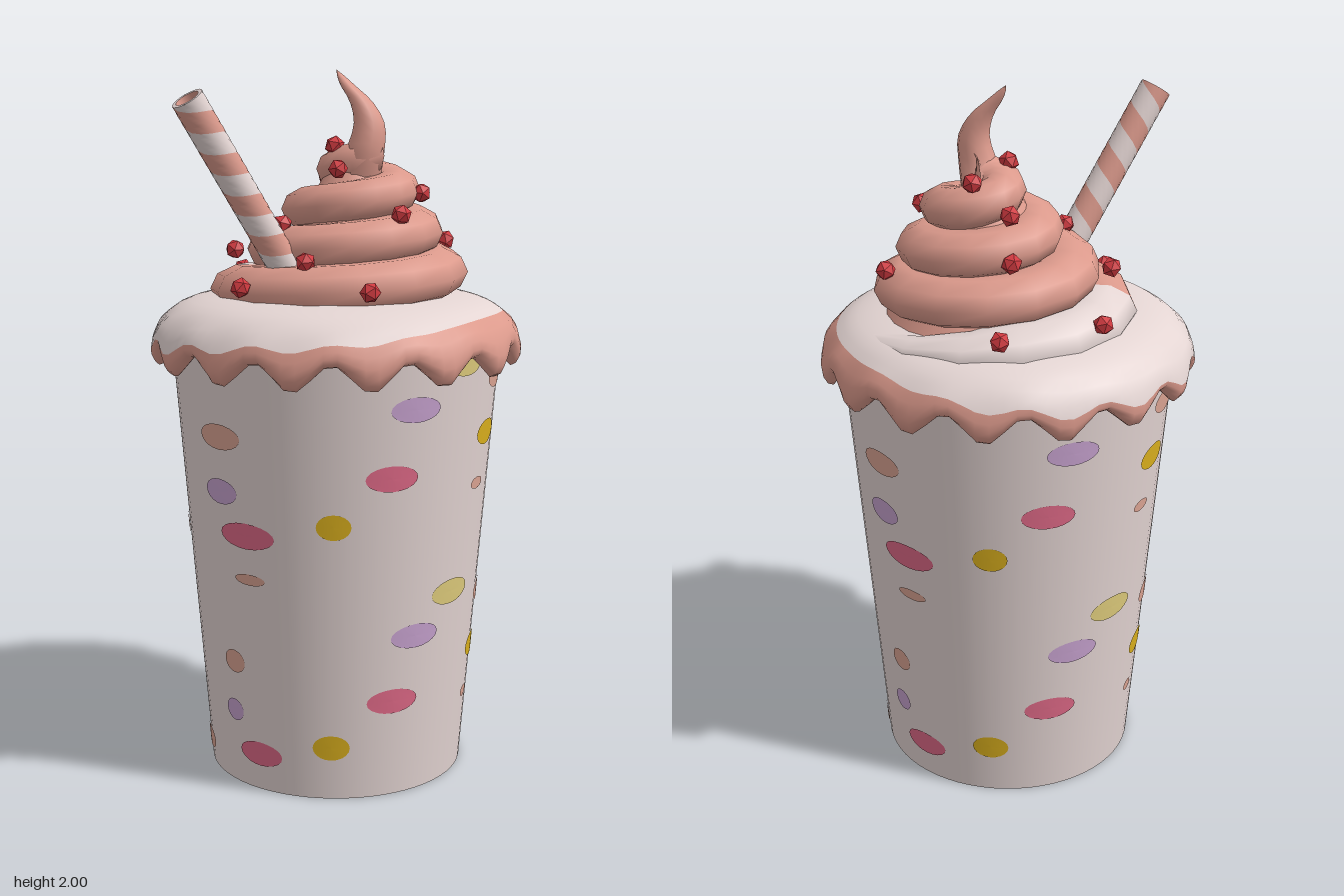
import * as THREE from 'three';

const mat = (name, color, side = THREE.FrontSide) => {
  const m = new THREE.MeshStandardMaterial({ color, side });
  m.name = name;
  return m;
};

// Surface from a rule fn(u, v), optionally closed in either direction
function grid(fn, nu, nv, wrapU, wrapV) {
  const pos = [], index = [];
  const cols = wrapU ? nu : nu + 1, rows = wrapV ? nv : nv + 1;
  for (let i = 0; i < cols; i++)
    for (let j = 0; j < rows; j++) pos.push(...fn(i / nu, j / nv));
  const id = (i, j) => (i % cols) * rows + (j % rows);
  for (let i = 0; i < nu; i++)
    for (let j = 0; j < nv; j++) {
      const a = id(i, j), b = id(i + 1, j), c = id(i + 1, j + 1), d = id(i, j + 1);
      index.push(a, b, c, a, c, d);
    }
  const g = new THREE.BufferGeometry();
  g.setAttribute('position', new THREE.Float32BufferAttribute(pos, 3));
  g.setIndex(index);
  g.computeVertexNormals();
  return g;
}

export function createModel() {
  const model = new THREE.Group();
  model.name = 'milkshake';
  const white = mat('white cream', 0xe4d5d3, THREE.DoubleSide);
  const frosting = mat('pink frosting', 0xdc9a8c, THREE.DoubleSide);
  const red = mat('red', 0xd03a40);
  const salmon = mat('salmon', 0xdda594);
  const pink = mat('pink', 0xe06a88);
  const lavender = mat('lavender', 0xc8a3d0);
  const yellow = mat('yellow', 0xdcb11e);
  const paleYellow = mat('pale yellow', 0xdfcc7c);

  const add = (name, geometry, material, parent = model) => {
    const mesh = new THREE.Mesh(geometry, material);
    mesh.name = name;
    parent.add(mesh);
    return mesh;
  };

  // Cup
  const cupRadius = y => 0.368 + 0.081 * y;
  const cup = add('cup', new THREE.CylinderGeometry(cupRadius(1.27), cupRadius(0), 1.27, 64), white);
  cup.position.y = 0.635;

  // Spots on the cup: angle, height, half angle, half height; the set repeats on the back
  const spots = [
    [lavender, [[-0.08, 1.115, 0.165, 0.035], [0, 0.47, 0.19, 0.035], [1.78, 0.87, 0.14, 0.036], [1.755, 0.225, 0.09, 0.033]]],
    [yellow, [[0.62, 1.01, 0.15, 0.036], [-0.58, 0.8, 0.11, 0.036], [0.78, 0.365, 0.15, 0.036], [-0.6, 0.155, 0.135, 0.037]]],
    [pink, [[-0.22, 0.93, 0.17, 0.036], [1.97, 0.755, 0.21, 0.037], [-0.155, 0.285, 0.195, 0.036], [1.98, 0.11, 0.19, 0.036]]],
    [salmon, [[0.53, 0.87, 0.085, 0.017], [1.08, 0.72, 0.15, 0.034], [1.98, 0.63, 0.12, 0.016], [0.86, 0.525, 0.15, 0.035],
      [0.675, 0.23, 0.065, 0.017], [0.74, 1.165, 0.17, 0.036], [1.8, 1.025, 0.17, 0.036], [1.79, 0.375, 0.1, 0.034],
      [1.23, 0.075, 0.15, 0.034]]],
    [paleYellow, [[0.31, 0.575, 0.19, 0.036], [0.29, 1.215, 0.13, 0.026]]],
  ];
  for (const [material, list] of spots)
    for (const [angle, height, w, h] of list)
      for (const turn of [0, Math.PI]) {
        const g = new THREE.RingGeometry(0, 1, 20, 3);
        const p = g.attributes.position;
        for (let i = 0; i < p.count; i++) {
          const a = angle + turn + w * p.getX(i), y = height + h * p.getY(i), r = cupRadius(y) + 0.003;
          p.setXYZ(i, Math.sin(a) * r, y, Math.cos(a) * r);
        }
        g.computeVertexNormals();
        add('cupSpot', g, material);
      }

  // Cream collar with a scalloped lip, pink below and white above a drifting line
  const profile = new THREE.CatmullRomCurve3([[0.45, 1.26], [0.495, 1.21], [0.523, 1.235], [0.512, 1.29],
    [0.455, 1.345], [0.38, 1.372], [0.25, 1.39]].map(([r, y]) => new THREE.Vector3(r, y, 0)));
  const collarPoint = (a, s) => {
    const p = profile.getPoint(s);
    const wave = Math.cos(15 * (a - 0.04)) * THREE.MathUtils.clamp((0.6 - s) / 0.4, 0, 1);
    const r = p.x + 0.008 * wave;
    return [Math.sin(a) * r, p.y - 0.035 * wave, Math.cos(a) * r];
  };
  const border = a => 0.5 + 0.13 * Math.cos(a - 0.8) + 0.015 * Math.sin(4 * a);
  const turn = u => u * Math.PI * 2;
  add('collarPink', grid((u, v) => collarPoint(turn(u), v * border(turn(u))), 90, 8, true), frosting);
  add('collarWhite', grid((u, v) => {
    const b = border(turn(u));
    return collarPoint(turn(u), b + v * (1 - b));
  }, 90, 8, true), white);

  // Whipped swirl: a rising spiral roll, starting white and turning pink
  const swirlPoint = (t, v) => {
    const a = turn(t), c = turn(v), k = t / 3.75;
    const grow = Math.min(1, 0.3 + t * 3.5);
    const rx = (0.115 - 0.05 * k) * grow, ry = (0.075 - 0.018 * k) * grow;
    const r = 0.42 - 0.085 * t - rx + rx * Math.cos(c);
    return [0.02 + 0.02 * t + Math.cos(a) * r, 1.34 + 0.113 * t + ry * Math.sin(c), -Math.sin(a) * r];
  };
  const swirlPart = (name, t0, t1, n, m) =>
    add(name, grid((u, v) => swirlPoint(t0 + (t1 - t0) * u, v), n, 10, false, true), m);
  swirlPart('swirlWhite', 0, 0.4, 6, white);
  swirlPart('swirlPink', 0.4, 3.75, 48, frosting);
  const core = add('swirlCore', new THREE.CylinderGeometry(0.07, 0.29, 0.36, 24), frosting);
  core.position.set(0.06, 1.55, 0);

  // Curled peak
  const peak = new THREE.CatmullRomCurve3([[0.06, 1.7, 0.02], [0.065, 1.78, 0.05], [0.075, 1.85, 0.055],
    [0.062, 1.91, 0.035], [0.035, 1.96, 0], [0.02, 2, -0.03]].map(p => new THREE.Vector3(...p)));
  add('peak', grid((u, v) => {
    const p = peak.getPoint(u), r = 0.064 * Math.pow(1 - u, 0.75), c = turn(v);
    return [p.x + r * Math.cos(c), p.y, p.z + r * Math.sin(c)];
  }, 12, 10, false, true), frosting);

  // Berries
  const berries = [[-0.115, 1.42, 0.35], [-0.205, 1.49, 0.17], [-0.185, 1.58, 0.015], [-0.035, 1.73, 0.065],
    [0.065, 1.61, 0.23], [0.195, 1.66, 0.14], [0.345, 1.515, 0.05], [0.005, 1.79, -0.015], [0.155, 1.77, -0.1],
    [0.095, 1.7, -0.2], [0.105, 1.58, -0.23], [-0.235, 1.5, -0.165], [-0.35, 1.42, 0.07], [-0.1, 1.42, -0.36],
    [0.2, 1.42, -0.35]];
  const berry = new THREE.IcosahedronGeometry(0.029, 0);
  berries.forEach((p, i) => {
    const b = add('berry', berry, red);
    b.position.set(...p);
    b.rotation.set(i, i * 2, 0);
  });

  // Hollow straw made of two twisted half tubes
  const straw = new THREE.Group();
  straw.name = 'straw';
  const length = 0.6;
  [white, frosting].forEach((m, half) => {
    const g = new THREE.CylinderGeometry(0.045, 0.045, length, 8, 54, true, half * Math.PI, Math.PI);
    const p = g.attributes.position, n = g.attributes.normal;
    for (let i = 0; i < p.count; i++) {
      const a = Math.atan2(p.getX(i), p.getZ(i)) - p.getY(i) / 0.13 * Math.PI * 2;
      p.setXYZ(i, Math.sin(a) * 0.045, p.getY(i), Math.cos(a) * 0.045);
      n.setXYZ(i, Math.sin(a), 0, Math.cos(a));
    }
    add('strawStripe', g, m, straw);
  });
  add('strawInside', new THREE.CylinderGeometry(0.034, 0.034, length, 16, 1, true), frosting, straw);
  const rim = add('strawRim', new THREE.RingGeometry(0.034, 0.045, 16), white, straw);
  rim.rotation.x = -Math.PI / 2;
  rim.position.y = length / 2;
  straw.rotation.z = 0.571;
  straw.position.set(-0.5 + 0.54 * length / 2, 1.922 - 0.84 * length / 2, 0.067);
  model.add(straw);

  return model;
}
